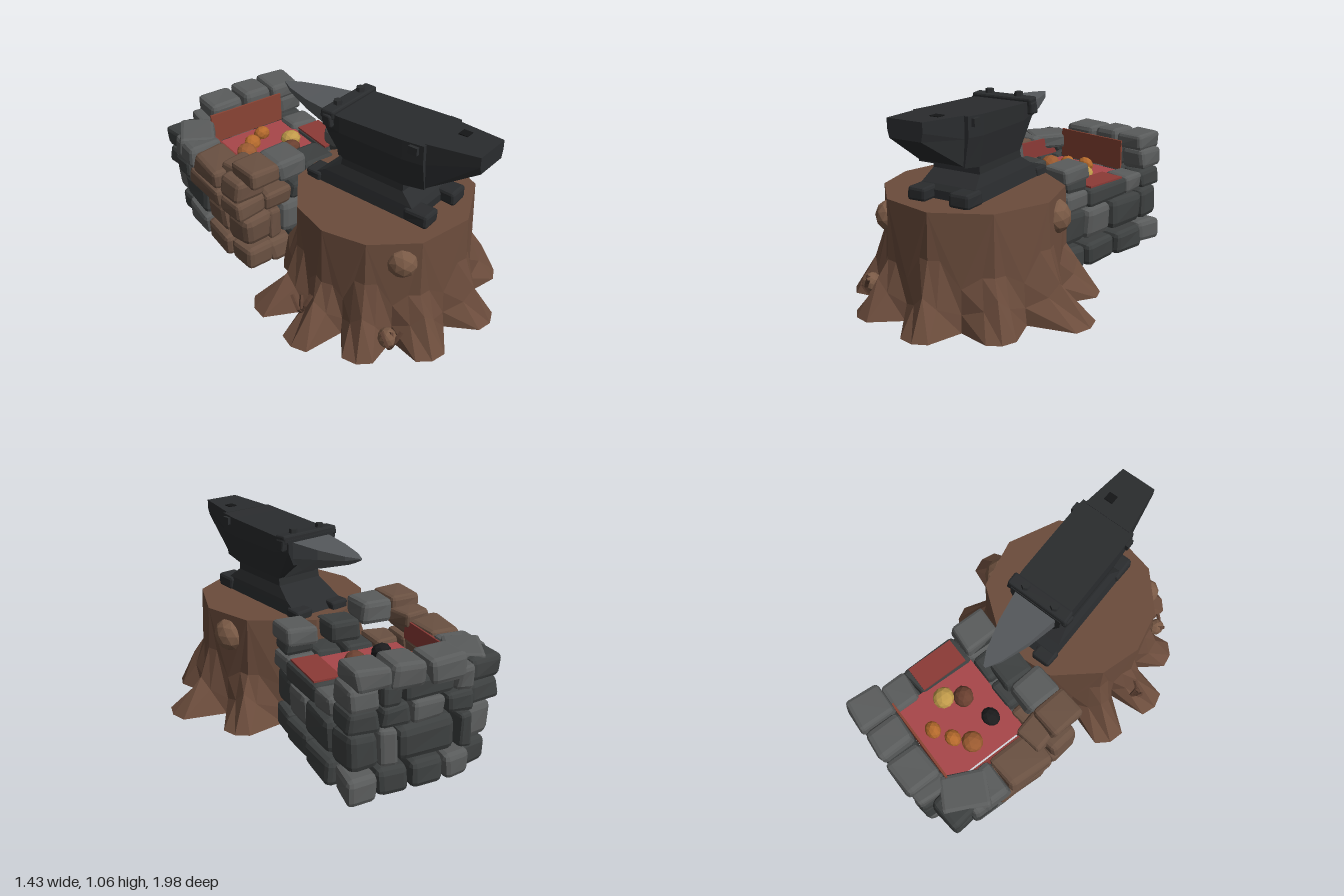
import * as THREE from 'three';
import { RoundedBoxGeometry } from 'three/addons/geometries/RoundedBoxGeometry.js';

let seed = 7;
const rnd = () => ((seed = (seed * 16807) % 2147483647) / 2147483647) * 2 - 1;

const mats = {};
const mat = (color) => (mats[color] ??= new THREE.MeshStandardMaterial({ color, flatShading: true }));
const IRON = 0x2a2c2e, WOOD = 0x6b4c3c, DARK = 0x3d4040, GREY = 0x5a5c5c, BROWN = 0x6a5142, RED = 0x8c3a36;

function add(parent, name, geometry, color, x = 0, y = 0, z = 0) {
  const mesh = new THREE.Mesh(geometry, mat(color));
  mesh.name = name;
  mesh.position.set(x, y, z);
  parent.add(mesh);
  return mesh;
}

// Skin a stack of equal-length rings, closing the chosen ends
function loft(rings, closeStart = true) {
  const n = rings[0].length, pos = [], index = [];
  rings.forEach((ring) => ring.forEach((p) => pos.push(...p)));
  for (let j = 0; j < rings.length - 1; j++) {
    for (let i = 0; i < n; i++) {
      const a = j * n + i, b = j * n + (i + 1) % n;
      index.push(a, a + n, b + n, a, b + n, b);
    }
  }
  (closeStart ? [0, rings.length - 1] : [rings.length - 1]).forEach((j) => {
    const c = pos.length / 3, ring = rings[j];
    pos.push(...[0, 1, 2].map((k) => ring.reduce((s, p) => s + p[k], 0) / n));
    for (let i = 0; i < n; i++) {
      const a = j * n + i, b = j * n + (i + 1) % n;
      if (j === 0) index.push(c, a, b); else index.push(c, b, a);
    }
  });
  const g = new THREE.BufferGeometry();
  g.setAttribute('position', new THREE.Float32BufferAttribute(pos, 3));
  g.setIndex(index);
  g.computeVertexNormals();
  return g;
}

// Chamfered block with its eight corners pushed about
function stoneGeometry(w, h, d, jitter = 0.014) {
  const g = new RoundedBoxGeometry(w, h, d, 1, Math.min(w, h, d) * 0.22);
  const p = g.attributes.position;
  const offsets = Array.from({ length: 8 }, () => [rnd() * jitter, rnd() * jitter * 0.6, rnd() * jitter]);
  for (let i = 0; i < p.count; i++) {
    const v = new THREE.Vector3().fromBufferAttribute(p, i);
    const u = [v.x / w + 0.5, v.y / h + 0.5, v.z / d + 0.5];
    offsets.forEach((o, k) => {
      const f = [0, 1, 2].reduce((m, a) => m * ((k >> a) & 1 ? u[a] : 1 - u[a]), 1);
      v.x += o[0] * f; v.y += o[1] * f; v.z += o[2] * f;
    });
    p.setXYZ(i, v.x, v.y, v.z);
  }
  g.computeVertexNormals();
  return g;
}

function buildStump() {
  const stump = new THREE.Group();
  stump.name = 'treeStump';
  const cx = -0.01, cz = 0.355;
  // Each root: angle in degrees and reach
  const roots = [[-8, 0.73], [31, 0.635], [70, 0.655], [107, 0.665], [140, 0.665], [169, 0.715],
    [197, 0.735], [232, 0.58], [270, 0.51], [316, 0.67]];
  const base = [], flare = [], shoulder = [], rim = [];
  const put = (ring, deg, r, y) => {
    const a = THREE.MathUtils.degToRad(deg);
    ring.push([cx + r * Math.cos(a), y, cz + r * Math.sin(a)]);
  };
  roots.forEach(([deg, reach], i) => {
    const next = i + 1 < roots.length ? roots[i + 1][0] : roots[0][0] + 360;
    const high = i % 2 ? 0.28 : 0.36;
    [[deg - 7, reach - 0.02, 0.13], [deg, reach, 0.19], [deg + 7, reach - 0.02, 0.13], [(deg + next) / 2, 0.49, 0.09]]
      .forEach(([a, r, y], k) => {
        put(base, a, r, 0);
        put(flare, a, k === 3 ? 0.475 : k === 1 ? 0.545 : 0.525, y);
        put(shoulder, a, k === 1 ? 0.485 : 0.468, k === 3 ? 0.22 : high);
        // Rim corners sit above the roots, giving a ten-sided top
        put(rim, deg, 0.475, 0.6);
      });
  });
  const bark = add(stump, 'trunkAndRoots', loft([base, flare, shoulder, rim], false), WOOD);
  bark.material = bark.material.clone();
  bark.material.side = THREE.DoubleSide;

  // Knots on the bark
  [[-0.22, 0.48, 0.745, 0.085], [0.385, 0.48, 0.16, 0.095], [-0.34, 0.09, 0.8, 0.055]].forEach(([x, y, z, r]) => {
    const knot = add(stump, 'knot', new THREE.IcosahedronGeometry(r, 1), 0x7a5a46, x, y, z);
    knot.scale.set(0.95, 1, 0.85);
    knot.rotation.set(0.4, x * 5, 0.3);
  });

  // Dry sprouts on the roots
  [[-0.33, 0.02, 0.81], [-0.58, 0.1, 0.4]].forEach(([x, y, z]) => {
    [-1, 0, 1].forEach((k) => {
      const path = new THREE.CatmullRomCurve3([[x, y, z], [x - 0.02 + k * 0.02, y + 0.06, z + 0.03],
        [x + k * 0.04, y + 0.12, z + 0.01 + k * 0.03]].map((p) => new THREE.Vector3(...p)));
      add(stump, 'sprout', new THREE.TubeGeometry(path, 4, 0.012, 5), 0x5f4234);
    });
  });
  return stump;
}

function buildAnvil() {
  const anvil = new THREE.Group();
  anvil.name = 'anvil';
  // Station: along, top, mid and bottom heights, half widths above and below
  const section = ([s, top, mid, bot, w, wb]) =>
    [[w, top, s], [w, mid, s], [wb, bot, s], [-wb, bot, s], [-w, mid, s], [-w, top, s]];
  const horn = [[-0.65, 0.986, 0.983, 0.976, 0.006, 0.004], [-0.58, 0.988, 0.965, 0.94, 0.045, 0.02],
    [-0.42, 0.993, 0.94, 0.885, 0.095, 0.035], [-0.25, 1.0, 0.91, 0.83, 0.125, 0.06], [-0.15, 1.0, 0.9, 0.77, 0.13, 0.1]];
  add(anvil, 'horn', loft(horn.map(section)), 0x55585b);
  const body = [[-0.25, 1.015, 0.95, 0.87, 0.155, 0.12], [-0.14, 1.02, 0.93, 0.77, 0.165, 0.14],
    [0.24, 1.035, 0.93, 0.77, 0.165, 0.14], [0.36, 1.043, 0.94, 0.79, 0.16, 0.135]];
  add(anvil, 'body', loft(body.map(section)), IRON);
  const heel = [[0.35, 1.045, 0.93, 0.79, 0.14, 0.13], [0.625, 1.06, 1.01, 0.968, 0.1, 0.09]];
  add(anvil, 'heel', loft(heel.map(section)), IRON);
  // Foot and waist: height, half width, back and front ends
  const foot = [[0.59, 0.175, -0.33, 0.33], [0.645, 0.165, -0.29, 0.33], [0.672, 0.16, -0.24, 0.31],
    [0.73, 0.14, -0.15, 0.24], [0.775, 0.138, -0.14, 0.24]];
  add(anvil, 'footAndWaist', loft(foot.map(([y, w, a, b]) => [[w, y, a], [w, y, b], [-w, y, b], [-w, y, a]])), IRON);
  // Clamp strap, bolts and the four toes of the foot
  add(anvil, 'strap', stoneGeometry(0.36, 0.05, 0.075, 0.006), IRON, 0, 1.015, -0.21);
  [-1, 1].forEach((k) => {
    add(anvil, 'strapEnd', stoneGeometry(0.045, 0.07, 0.06, 0.006), IRON, k * 0.165, 0.985, -0.21);
    add(anvil, 'topBolt', new THREE.CylinderGeometry(0.022, 0.026, 0.035, 6), IRON, k * 0.09, 1.045, -0.21);
    add(anvil, 'sideBolt', new THREE.BoxGeometry(0.04, 0.04, 0.05), IRON, k * 0.16, 1.01, 0.31);
    add(anvil, 'frontToe', stoneGeometry(0.11, 0.075, 0.14, 0.006), IRON, k * 0.125, 0.632, 0.34);
    add(anvil, 'backToe', stoneGeometry(0.11, 0.06, 0.1, 0.006), IRON, k * 0.125, 0.615, -0.31);
  });
  add(anvil, 'squareHole', new THREE.BoxGeometry(0.05, 0.01, 0.05), 0x151617, 0.05, 1.05, 0.45);
  anvil.position.set(0, 0, 0.3);
  anvil.rotation.y = 0.245;
  return anvil;
}

function buildForge() {
  const forge = new THREE.Group();
  forge.name = 'stoneForge';
  const stone = (x, y, z, w, h, d, color, turn = 0) => {
    add(forge, 'stone', stoneGeometry(w, h, d), color, x, y, z).rotation.y = turn;
  };
  // Courses: bottom, top, end-wall seam shift and side-wall seam
  const courses = [[0.015, 0.155, 0.03, -0.53], [0.18, 0.365, -0.04, -0.5], [0.375, 0.485, 0.03, -0.62], [0.49, 0.61, -0.02, -0.55]];
  courses.forEach(([y0, y1, shift, seam], row) => {
    const y = (y0 + y1) / 2, h = y1 - y0, low = row === 0 ? 0.01 : 0;
    const left = row < 2 ? -0.525 : -0.56;
    const tone = (i) => ((i + row) % 3 ? DARK : GREY);
    // Back and front walls
    [[-0.45, -0.33 + shift], [-0.32 + shift, -0.08 - shift], [-0.07 - shift, 0.06], [0.065, 0.225]].forEach(([a, b], i) => {
      stone((a + b) / 2, y, -0.875 - low, b - a, h, 0.185, tone(i));
      if (row < 3 || i > 2) stone((a + b) / 2, y, -0.19, b - a, h, 0.18, i < 1 ? BROWN : tone(i + 1));
    });
    // Side walls; the right one stops low between its end posts
    [[-0.785, seam - 0.005], [seam + 0.005, -0.285]].forEach(([a, b], i) => {
      stone(left, y, (a + b) / 2, 0.19, h, b - a, i ? BROWN : tone(i));
      if (row < 3) stone(0.15 + low, y, (a + b) / 2, 0.18, h, b - a, tone(i + 1));
    });
    // Outer corners on the left
    stone(left + 0.025, y, -0.825, 0.19, h, 0.17, tone(2), 0.15);
    stone(left + 0.01, y, -0.19, 0.18, h, 0.18, BROWN, 0.1);
  });
  // Capping stones
  [[-0.525, 0.57, -0.745, 0.2, 0.1, 0.27, GREY, -0.45], [-0.28, 0.63, -0.885, 0.21, 0.13, 0.2, GREY],
    [-0.065, 0.635, -0.89, 0.17, 0.14, 0.2, GREY], [0.11, 0.65, -0.88, 0.19, 0.1, 0.2, GREY],
    [0.15, 0.59, -0.185, 0.18, 0.09, 0.21, GREY],
    [-0.5, 0.655, -0.13, 0.17, 0.1, 0.2, BROWN, 0.05], [-0.32, 0.63, -0.14, 0.18, 0.13, 0.22, GREY, 0.04],
    [-0.13, 0.55, -0.15, 0.19, 0.12, 0.18, DARK], [-0.5, 0.6, -0.27, 0.17, 0.08, 0.16, BROWN, 0.2]]
    .forEach((s) => stone(...s));

  // Glowing hearth bed, seen only from above, and lit wall faces
  add(forge, 'hearthBed', new THREE.PlaneGeometry(0.5, 0.5).rotateX(-Math.PI / 2), 0xa8474a, -0.17, 0.46, -0.53);
  add(forge, 'backLining', new THREE.BoxGeometry(0.48, 0.18, 0.012), 0x8a4434, -0.17, 0.56, -0.776);
  add(forge, 'leftLining', new THREE.BoxGeometry(0.012, 0.11, 0.46), RED, -0.46, 0.54, -0.53);
  add(forge, 'litWallTop', new THREE.BoxGeometry(0.15, 0.01, 0.28), RED, 0.15, 0.49, -0.45);

  // Coals
  [[-0.31, -0.55, 0.06, 0x9a5a30], [-0.23, -0.62, 0.05, 0xb56a2c], [-0.13, -0.68, 0.05, 0xb56a2c],
    [-0.02, -0.53, 0.06, 0xc09a4a], [-0.08, -0.44, 0.06, 0x6a4030], [-0.26, -0.39, 0.055, 0x1c1c1d]]
    .forEach(([x, z, r, color]) => {
      const coal = add(forge, 'coal', new THREE.IcosahedronGeometry(r, 1), color, x, 0.48, z);
      coal.scale.y = 0.8;
      coal.rotation.set(x * 9, z * 7, 0);
    });
  return forge;
}

export function createModel() {
  seed = 7;
  const model = new THREE.Group();
  model.name = 'anvilAndForge';
  model.add(buildStump(), buildAnvil(), buildForge());
  return model;
}
